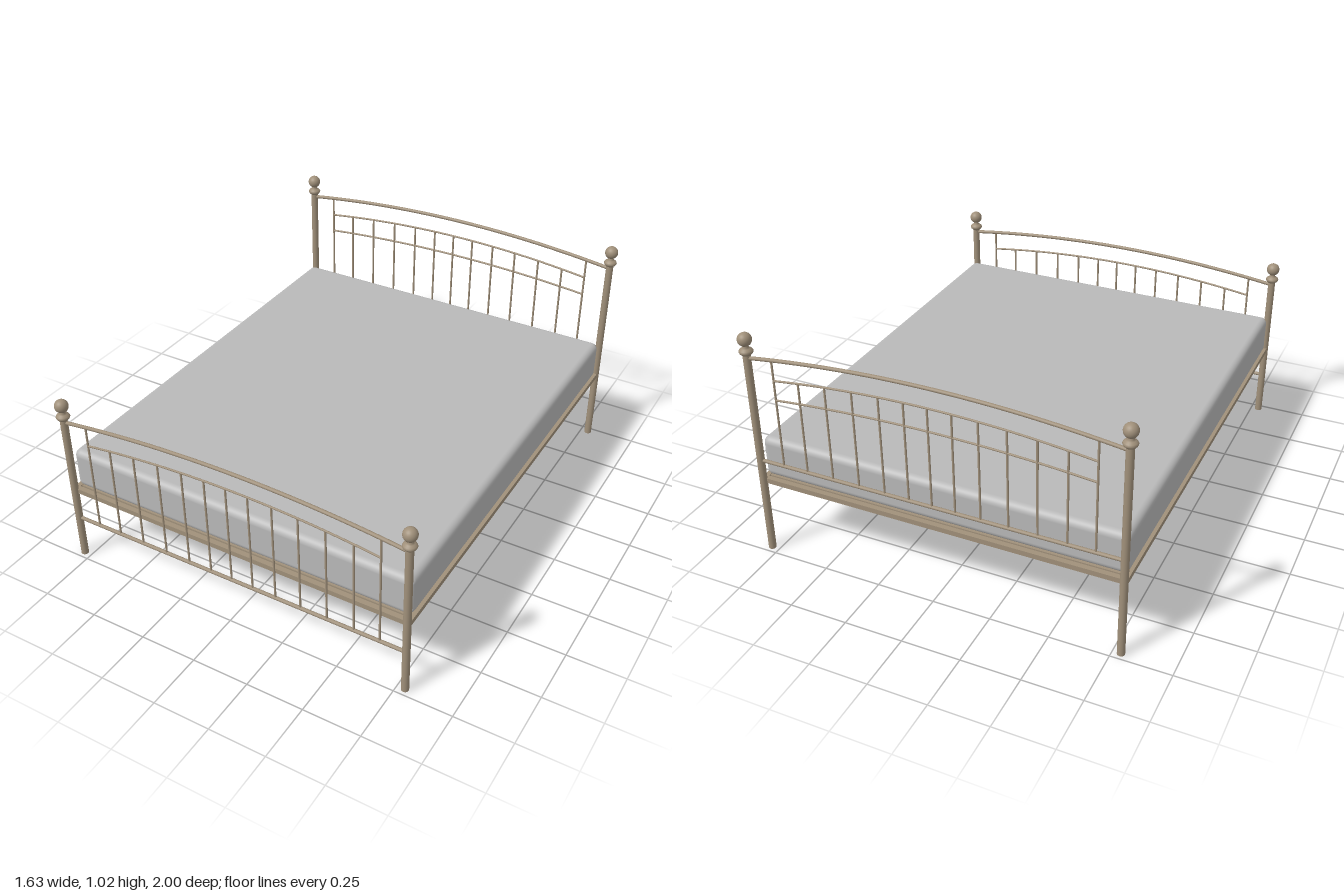
import * as THREE from 'three';
import { RoundedBoxGeometry } from 'three/addons/geometries/RoundedBoxGeometry.js';

const POST_X = 0.785, END_Z = 0.97;
const SPINDLE_X = [0, 0.1, 0.207, 0.322, 0.441, 0.56, 0.672];

export function createModel() {
  const metal = new THREE.MeshStandardMaterial({ color: 0xa0907a });
  metal.name = 'warm metal';
  const fabric = new THREE.MeshStandardMaterial({ color: 0xb9b9b9 });
  fabric.name = 'grey fabric';

  const bed = new THREE.Group();
  bed.name = 'bed';

  function add(parent, name, geometry, x = 0, y = 0, z = 0, material = metal) {
    const mesh = new THREE.Mesh(geometry, material);
    mesh.name = name;
    mesh.position.set(x, y, z);
    parent.add(mesh);
    return mesh;
  }

  // Bar that is straight or rises to a crown in the middle
  function bar(parent, name, halfWidth, endY, crownY, radius) {
    const curve = new THREE.QuadraticBezierCurve3(
      new THREE.Vector3(-halfWidth, endY, 0),
      new THREE.Vector3(0, 2 * crownY - endY, 0),
      new THREE.Vector3(halfWidth, endY, 0));
    add(parent, name, new THREE.TubeGeometry(curve, 32, radius, 10));
  }

  // Post with a lens-shaped collar, neck and ball finial
  function post(parent, x, ballY) {
    const group = new THREE.Group();
    group.name = 'post';
    group.position.x = x;
    parent.add(group);
    const height = ballY - 0.06;
    add(group, 'postShaft', new THREE.CylinderGeometry(0.016, 0.016, height, 20), 0, height / 2);
    const profile = [[0.014, -0.068], [0.019, -0.065], [0.026, -0.058], [0.029, -0.051],
      [0.026, -0.044], [0.018, -0.038], [0.012, -0.034], [0.012, -0.02]];
    add(group, 'collar', new THREE.LatheGeometry(
      profile.map(([r, y]) => new THREE.Vector2(r, y)), 24), 0, ballY);
    add(group, 'ballFinial', new THREE.SphereGeometry(0.029, 24, 16), 0, ballY);
  }

  // Head or foot panel: posts, arched rails, bottom rail and spindles
  function endPanel(name, z, p) {
    const panel = new THREE.Group();
    panel.name = name;
    panel.position.z = z;
    bed.add(panel);
    for (const side of [-1, 1]) post(panel, side * POST_X, p.ballY);
    bar(panel, 'topRail', POST_X, p.top[0], p.top[1], 0.008);
    bar(panel, 'bottomRail', POST_X, p.bottom, p.bottom, 0.008);
    for (const [endY, crownY] of p.bars) bar(panel, 'thinBar', 0.672, endY, crownY, 0.0045);

    // Outer spindles reach the top rail, the others stop at the upper thin bar
    const archY = ([endY, crownY], half, x) => crownY - (crownY - endY) * (x / half) ** 2;
    for (const x of SPINDLE_X) {
      const topY = x > 0.6 ? archY(p.top, POST_X, x) : archY(p.bars[0], 0.672, x);
      const height = topY - p.bottom;
      for (const side of x === 0 ? [1] : [-1, 1]) {
        add(panel, 'spindle', new THREE.CylinderGeometry(0.0045, 0.0045, height, 10),
          side * x, p.bottom + height / 2);
      }
    }
  }

  endPanel('headboard', -END_Z, {
    ballY: 0.991, top: [0.91, 0.965], bottom: 0.44, bars: [[0.834, 0.88], [0.747, 0.78]],
  });
  endPanel('footboard', END_Z, {
    ballY: 0.768, top: [0.688, 0.742], bottom: 0.198, bars: [[0.611, 0.658]],
  });

  // Frame rails
  for (const side of [-1, 1]) {
    add(bed, 'sideRail', new THREE.BoxGeometry(0.022, 0.022, 2 * END_Z), side * POST_X, 0.34, 0);
    add(bed, 'endRail', new THREE.BoxGeometry(2 * POST_X, 0.022, 0.022), 0, 0.34, side * 0.957);
  }

  // Slats under the mattress
  const slatCount = 28, pitch = 1.9 / slatCount;
  const slatGeometry = new THREE.BoxGeometry(2 * POST_X, 0.012, 0.042);
  for (let i = 0; i < slatCount; i++) {
    add(bed, 'slat', slatGeometry, 0, 0.343, (i - (slatCount - 1) / 2) * pitch);
  }

  // Mattress
  add(bed, 'mattress', new RoundedBoxGeometry(1.58, 0.182, 1.89, 5, 0.03), 0, 0.441, 0, fabric);

  return bed;
}
